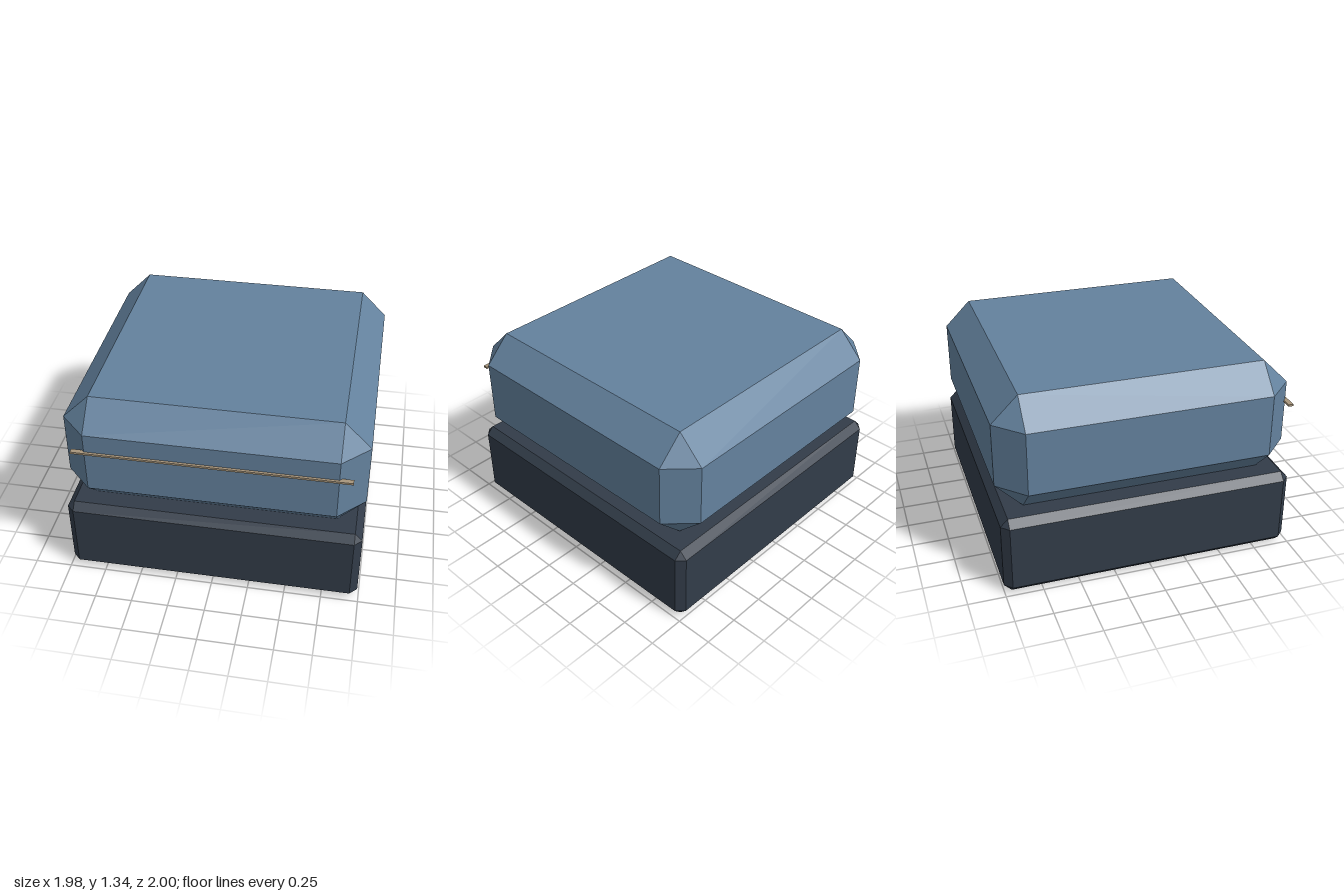
import * as THREE from 'three';
import { ConvexGeometry } from 'three/addons/geometries/ConvexGeometry.js';

// Box with every edge cut by a 45 degree chamfer
function chamferedBox(w, h, d, c) {
  const points = [];
  for (const sx of [-1, 1]) for (const sy of [-1, 1]) for (const sz of [-1, 1]) {
    const x = w / 2, y = h / 2, z = d / 2;
    points.push(
      new THREE.Vector3(sx * x, sy * (y - c), sz * (z - c)),
      new THREE.Vector3(sx * (x - c), sy * y, sz * (z - c)),
      new THREE.Vector3(sx * (x - c), sy * (y - c), sz * z),
    );
  }
  return new ConvexGeometry(points);
}

export function createModel() {
  const group = new THREE.Group();

  const add = (name, geometry, color, y, z) => {
    const material = new THREE.MeshStandardMaterial({ color, flatShading: true });
    const mesh = new THREE.Mesh(geometry, material);
    mesh.name = name;
    mesh.position.set(0, y, z);
    group.add(mesh);
  };

  const width = 1.98, depth = 1.983, centreZ = -0.0085;
  const baseHeight = 0.55, cushionHeight = 0.788;

  // Dark base block standing on the ground
  add('base', chamferedBox(width, baseHeight, depth, 0.05), 0x323c49, baseHeight / 2, centreZ);

  // Cushion with wide chamfers resting on the base
  add('cushion', chamferedBox(width, cushionHeight, depth, 0.178), 0x64829e,
    baseHeight + cushionHeight / 2, centreZ);

  // Thin seam strip across the front of the cushion
  add('frontSeam', new THREE.BoxGeometry(1.8, 0.014, 0.034), 0xa8967c, 1.024, 0.983);

  return group;
}
